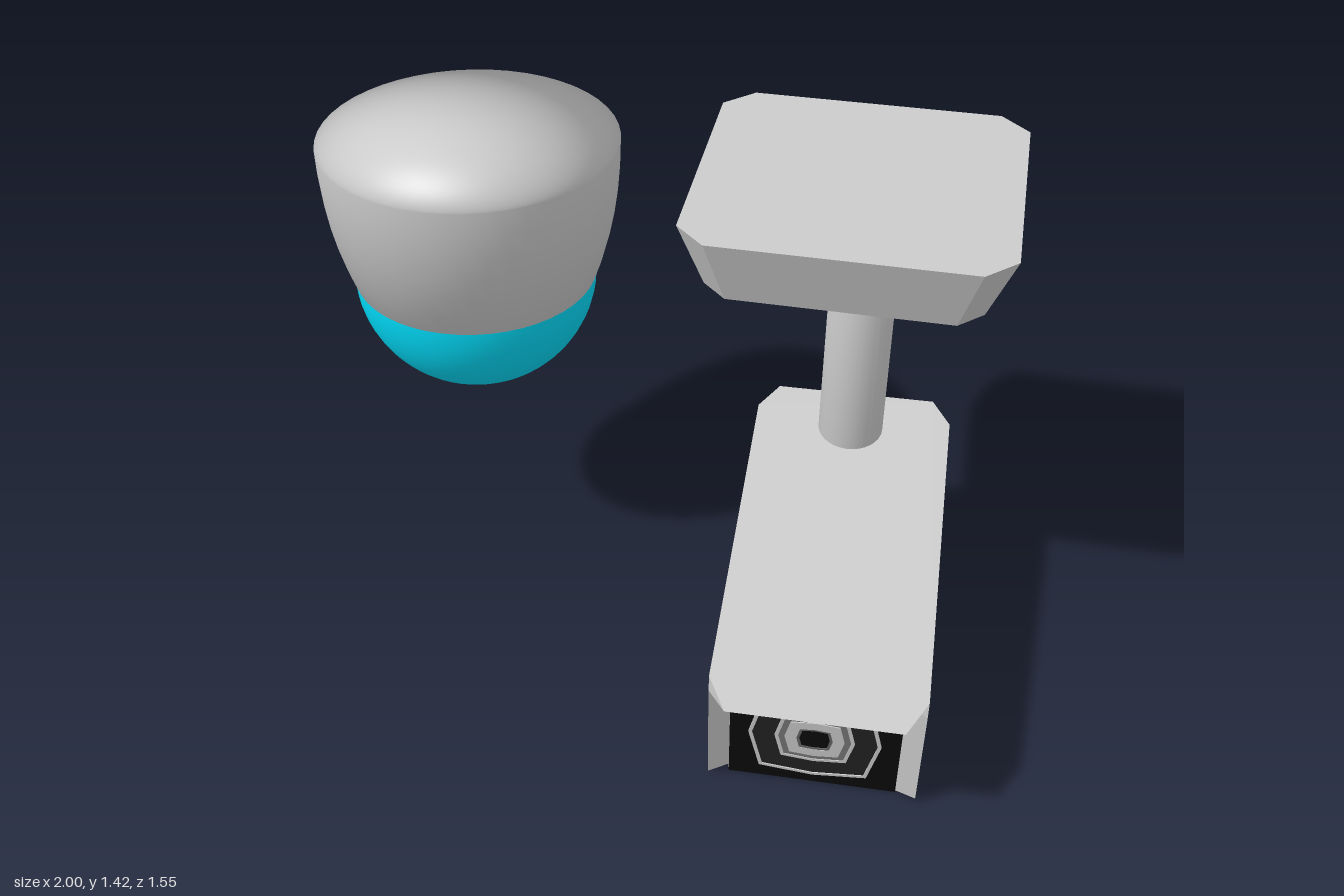
import * as THREE from 'three';

const material = (color, flatShading = false) => new THREE.MeshStandardMaterial({ color, flatShading });
const GREY = 0xcccccc, BLACK = 0x0a0a0a;

function addPart(parent, name, geometry, color = GREY, flat = false) {
  const mesh = new THREE.Mesh(geometry, material(color, flat));
  mesh.name = name;
  parent.add(mesh);
  return mesh;
}

// Faceted solid through horizontal rings; each ring lists [x, z] of the right half, back to front.
function loft(levels) {
  const rings = levels.map(({ y, half }) => {
    const left = half.map(([x, z]) => [-x, z]).reverse();
    return [...half, ...left].map(([x, z]) => new THREE.Vector3(x, y, z));
  });
  const pts = [];
  const n = rings[0].length, last = rings.length - 1;
  for (let k = 0; k < last; k++) {
    for (let i = 0; i < n; i++) {
      const j = (i + 1) % n;
      const a = rings[k][i], b = rings[k][j], c = rings[k + 1][i], d = rings[k + 1][j];
      pts.push(a, c, b, b, c, d);
    }
  }
  for (let i = 1; i < n - 1; i++) {
    pts.push(rings[0][0], rings[0][i], rings[0][i + 1]);
    pts.push(rings[last][0], rings[last][i + 1], rings[last][i]);
  }
  const geometry = new THREE.BufferGeometry().setFromPoints(pts);
  geometry.computeVertexNormals();
  return geometry;
}

// Sphere with its upper half pressed flat and its lower half stretched to a depth; keeps the round normals.
function bowl(radius, depth) {
  const geometry = new THREE.SphereGeometry(radius, 48, 32);
  const p = geometry.attributes.position;
  for (let i = 0; i < p.count; i++) {
    p.setY(i, p.getY(i) > 0 ? 0 : p.getY(i) * depth / radius);
  }
  return geometry;
}

// Slightly squared eight-sided outline for the lens parts
function octagon(r, Target = THREE.Shape) {
  const corners = [[1, 0], [0.82, 0.82], [0, 0.91], [-0.82, 0.82],
    [-1, 0], [-0.82, -0.82], [0, -0.91], [0.82, -0.82]];
  return new Target(corners.map(([x, y]) => new THREE.Vector2(x * r, y * r)));
}

function lensRing(outer, inner, depth) {
  const shape = octagon(outer);
  if (inner > 0) shape.holes.push(octagon(inner, THREE.Path));
  return new THREE.ExtrudeGeometry(shape, { depth, bevelEnabled: false });
}

function createDomeCamera() {
  const group = new THREE.Group();
  group.name = 'domeCamera';
  group.position.set(-0.565, 0, -0.33);
  addPart(group, 'domeHousing', bowl(0.435, 0.775)).position.y = 1.42;
  addPart(group, 'domeWindow', bowl(0.36, 0.353), 0x00d8f5).position.y = 0.99;
  return group;
}

function createMount() {
  const group = new THREE.Group();
  group.name = 'ceilingMount';
  // Tapered plate with cut corners
  const plateRing = (h, c) => [[h - c, -h], [h, -h + c], [h, h - c], [h - c, h]];
  const plate = addPart(group, 'mountPlate', loft([
    { y: 1.22, half: plateRing(0.376, 0.068) },
    { y: 1.42, half: plateRing(0.445, 0.085) },
  ]), GREY, true);
  plate.position.set(0.552, 0, -0.332);

  // Pole with softly shaded ends
  const profile = [[0, 0.52], [0.096, 0.52], [0.096, 1.221], [0, 1.221]];
  const pole = addPart(group, 'mountPole',
    new THREE.LatheGeometry(profile.map(([x, y]) => new THREE.Vector2(x, y)), 32));
  pole.position.set(0.586, 0, -0.325);
  return group;
}

function createBoxCamera() {
  const group = new THREE.Group();
  group.name = 'boxCamera';
  group.position.set(0.602, 0, 0);
  group.rotation.set(THREE.MathUtils.degToRad(7.5), THREE.MathUtils.degToRad(2), 0, 'YXZ');

  // Body with bevelled back, front fins and an overhanging visor
  const wall = [[0.235, -0.585], [0.29, -0.475], [0.29, 0.605], [0.235, 0.572]];
  addPart(group, 'cameraBody', loft([
    { y: 0.078, half: [[0.235, -0.585], [0.235, -0.475], [0.235, 0.55], [0.235, 0.572]] },
    { y: 0.1, half: wall },
    { y: 0.473, half: wall },
    { y: 0.527, half: [[0.235, -0.543], [0.29, -0.45], [0.29, 0.597], [0.235, 0.706]] },
  ]), GREY, true);

  // Black front panel
  addPart(group, 'frontPanel', new THREE.BoxGeometry(0.468, 0.394, 0.01), BLACK)
    .position.set(0, 0.276, 0.573);

  // Lens, built as stacked rings: name, outer radius, inner radius, depth, colour
  const lens = new THREE.Group();
  lens.name = 'lens';
  lens.position.set(0, 0.282, 0.577);
  group.add(lens);
  [
    ['lensRim', 0.182, 0.172, 0.006, GREY],
    ['lensShade', 0.172, 0.11, 0.003, 0x222222],
    ['lensOuterRing', 0.11, 0.1, 0.006, GREY],
    ['lensStep', 0.1, 0.082, 0.004, 0x777777],
    ['lensInnerRing', 0.082, 0.05, 0.007, GREY],
    ['lensCollar', 0.05, 0.042, 0.006, 0x666666],
    ['lensGlass', 0.042, 0, 0.004, BLACK],
  ].forEach(([name, outer, inner, depth, color]) =>
    addPart(lens, name, lensRing(outer, inner, depth), color));

  // Status light
  addPart(group, 'statusLight', new THREE.SphereGeometry(0.025, 16, 12), 0xc00010)
    .position.set(0.193, 0.443, 0.578);
  return group;
}

export function createModel() {
  const model = new THREE.Group();
  model.name = 'securityCameras';
  model.add(createDomeCamera(), createMount(), createBoxCamera());
  return model;
}
